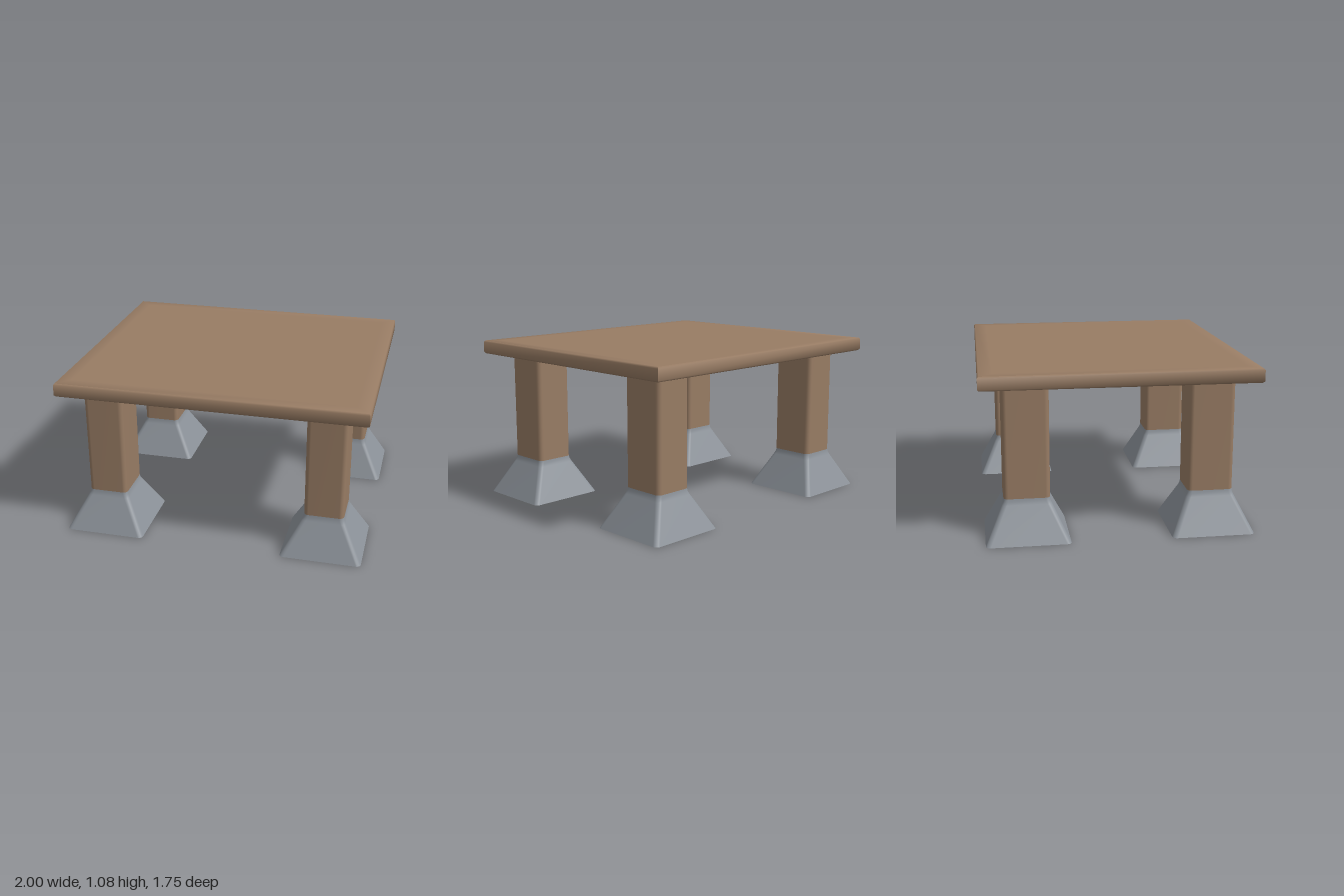
import * as THREE from 'three';
import { toCreasedNormals } from 'three/addons/utils/BufferGeometryUtils.js';

const wood = new THREE.MeshStandardMaterial({ name: 'brown wood', color: 0x987c64, side: THREE.DoubleSide });
const stone = new THREE.MeshStandardMaterial({ name: 'grey stone', color: 0x8c9299, side: THREE.DoubleSide });

// Skins stacked rounded rectangles, each given as [halfWidth, halfDepth, y]
function loft(rings, radius, segments, capped) {
  const pos = [], index = [];
  const n = 4 * (segments + 1);
  for (const [hx, hz, y] of rings) {
    for (let q = 0; q < 4; q++) {
      const sx = q === 0 || q === 3 ? 1 : -1;
      const sz = q < 2 ? 1 : -1;
      for (let k = 0; k <= segments; k++) {
        const a = (q + (segments ? k / segments : 0.5)) * Math.PI / 2;
        pos.push(sx * (hx - radius) + radius * Math.cos(a), y, sz * (hz - radius) + radius * Math.sin(a));
      }
    }
  }
  for (let i = 0; i < rings.length - 1; i++) {
    for (let j = 0; j < n; j++) {
      const a = i * n + j, b = i * n + (j + 1) % n;
      index.push(a, a + n, b, b, a + n, b + n);
    }
  }
  if (capped) {
    const t = (rings.length - 1) * n;
    for (let j = 1; j < n - 1; j++) index.push(0, j, j + 1, t, t + j + 1, t + j);
  }
  const geometry = new THREE.BufferGeometry();
  geometry.setAttribute('position', new THREE.Float32BufferAttribute(pos, 3));
  geometry.setIndex(index);
  geometry.computeVertexNormals();
  return geometry;
}

export function createModel() {
  const table = new THREE.Group();
  table.name = 'table';

  // Slab with a softly eased rim; the inner ring keeps the middle flat
  const slab = loft([
    [0.99, 0.865, 0.99],
    [1.0, 0.875, 1.0],
    [1.0, 0.875, 1.07],
    [0.992, 0.867, 1.08],
    [0.91, 0.785, 1.08],
  ], 0, 0, true);
  const top = new THREE.Mesh(toCreasedNormals(slab, THREE.MathUtils.degToRad(55)), wood);
  top.name = 'tableTop';
  table.add(top);

  // Hollow posts on flared, open-bottomed feet
  const postGeometry = loft([[0.13, 0.147, 0.265], [0.13, 0.147, 0.99]], 0.03, 4, false);
  const footGeometry = loft([
    [0.265, 0.267, 0],
    [0.143, 0.158, 0.225],
    [0.134, 0.15, 0.245],
    [0.13, 0.147, 0.265],
  ], 0.03, 4, false);

  for (const sx of [-1, 1]) {
    for (const sz of [-1, 1]) {
      const leg = new THREE.Group();
      leg.name = (sz > 0 ? 'front' : 'back') + (sx > 0 ? 'Left' : 'Right') + 'Leg';
      const post = new THREE.Mesh(postGeometry, wood);
      post.name = 'post';
      const foot = new THREE.Mesh(footGeometry, stone);
      foot.name = 'foot';
      leg.add(post, foot);
      leg.position.set(sx * 0.732, 0, sz * 0.588);
      table.add(leg);
    }
  }
  return table;
}
